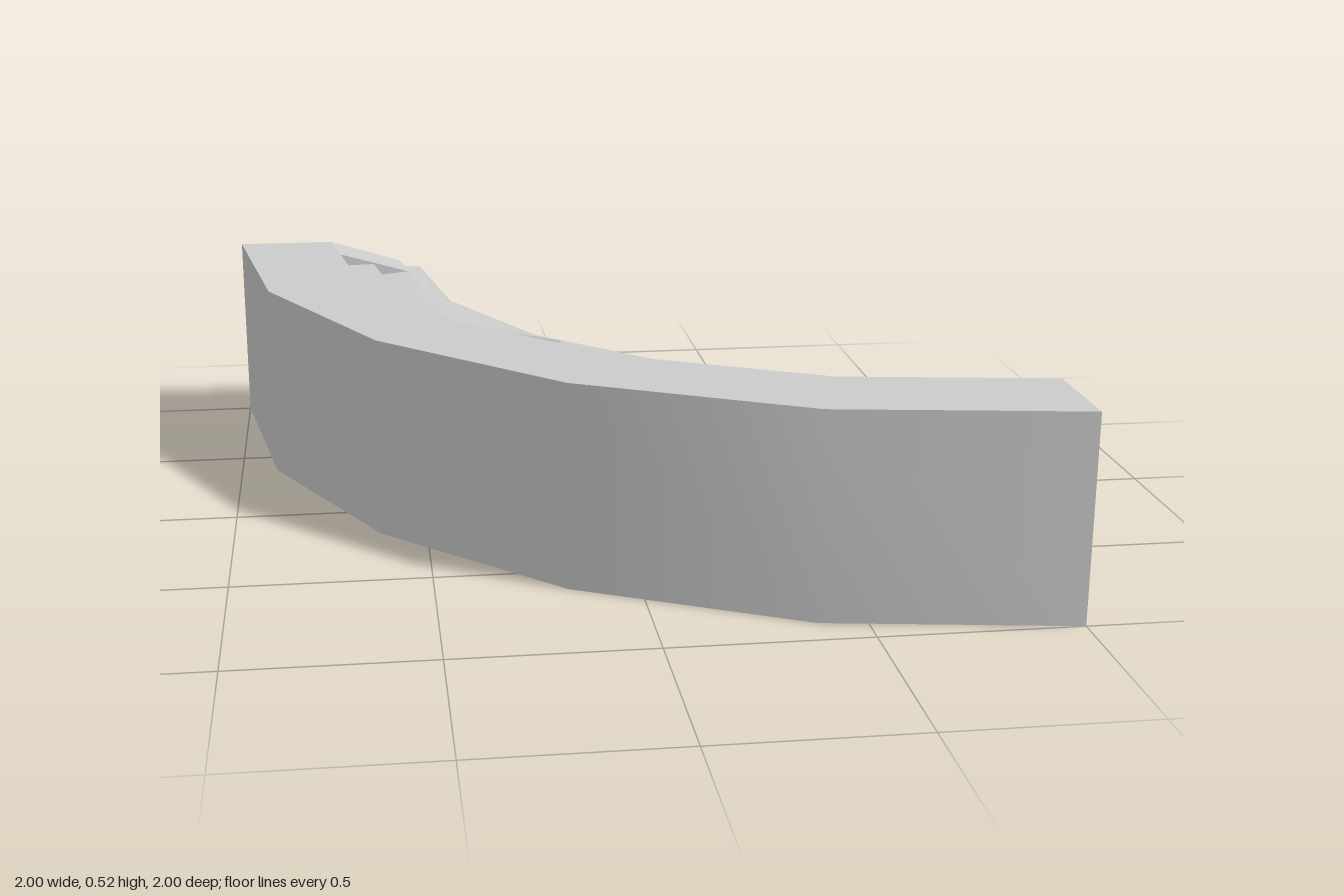
import * as THREE from 'three';

const BEND = 18; // degrees per straight length of the quarter ring
const material = new THREE.MeshStandardMaterial({ color: 0xcccccc, side: THREE.DoubleSide });

// Point on the faceted ring: radius at the bends, height, angle in degrees
function ringPoint(r, y, deg) {
  const k = Math.min(Math.floor(deg / BEND), 4);
  const at = (d) => {
    const a = THREE.MathUtils.degToRad(d);
    return new THREE.Vector3(1 - r * Math.cos(a), y, -1 + r * Math.sin(a));
  };
  return at(k * BEND).lerp(at((k + 1) * BEND), (deg - k * BEND) / BEND);
}

function buildMesh(name, points, index) {
  const geometry = new THREE.BufferGeometry().setFromPoints(points);
  geometry.setIndex(index);
  geometry.computeVertexNormals();
  const mesh = new THREE.Mesh(geometry, material);
  mesh.name = name;
  return mesh;
}

// Sweep a [radius, height] profile round the ring; smooth along and across
function sweep(name, profile, from, to) {
  const angles = [from];
  for (let a = BEND; a < 90; a += BEND) if (a > from && a < to) angles.push(a);
  angles.push(to);
  const n = angles.length, points = [], index = [];
  for (const [r, y] of profile) for (const a of angles) points.push(ringPoint(r, y, a));
  for (let i = 0; i < profile.length - 1; i++) {
    for (let j = 0; j < n - 1; j++) {
      const p = i * n + j;
      index.push(p, p + 1, p + n, p + 1, p + n + 1, p + n);
    }
  }
  return buildMesh(name, points, index);
}

// Vertical cheek closing a recess between ramp and steps
function cheek(angle, flip) {
  const outline = [[1.63, 0.49], [1.73, 0.49], [1.73, 0.525], [1.525, 0.462], [1.63, 0.455]];
  const points = outline.map(([r, y]) => ringPoint(r, y, angle));
  const index = [0, 1, 2, 0, 2, 3, 0, 3, 4];
  return buildMesh('recessEnd', points, flip ? index.reverse() : index);
}

export function createModel() {
  const group = new THREE.Group();
  group.name = 'curvedCounter';

  // Full-length shell: outer wall, flat top, inner drop and flange
  group.add(sweep('outerWall', [[2, 0], [2, 0.525]], 0, 90));
  group.add(sweep('topDeck', [[2, 0.525], [1.73, 0.525]], 0, 90));
  group.add(sweep('innerWall', [[1.46, 0.44], [1.46, 0.39]], 0, 90));
  group.add(sweep('innerFlange', [[1.46, 0.39], [1.425, 0.39]], 0, 90));

  const lip = [[1.525, 0.462], [1.505, 0.442], [1.46, 0.44]];

  // Sloping ramps between the recesses
  for (const [from, to] of [[0, 6], [30, 42], [66, 78]]) {
    group.add(sweep('ramp', [[1.73, 0.525], [1.525, 0.462]], from, to));
    group.add(sweep('rampLip', lip, from, to));
  }

  // Stepped recesses; the last one runs out of the open end
  for (const [from, to] of [[6, 30], [42, 66], [78, 90]]) {
    const recess = new THREE.Group();
    recess.name = 'steppedRecess';
    recess.add(sweep('upperRiser', [[1.73, 0.525], [1.73, 0.49]], from, to));
    recess.add(sweep('upperTread', [[1.73, 0.49], [1.63, 0.49]], from, to));
    recess.add(sweep('lowerRiser', [[1.63, 0.49], [1.63, 0.455]], from, to));
    recess.add(sweep('lowerTread', [[1.63, 0.455], ...lip], from, to));
    recess.add(cheek(from, false));
    if (to < 90) recess.add(cheek(to, true));
    group.add(recess);
  }
  return group;
}
